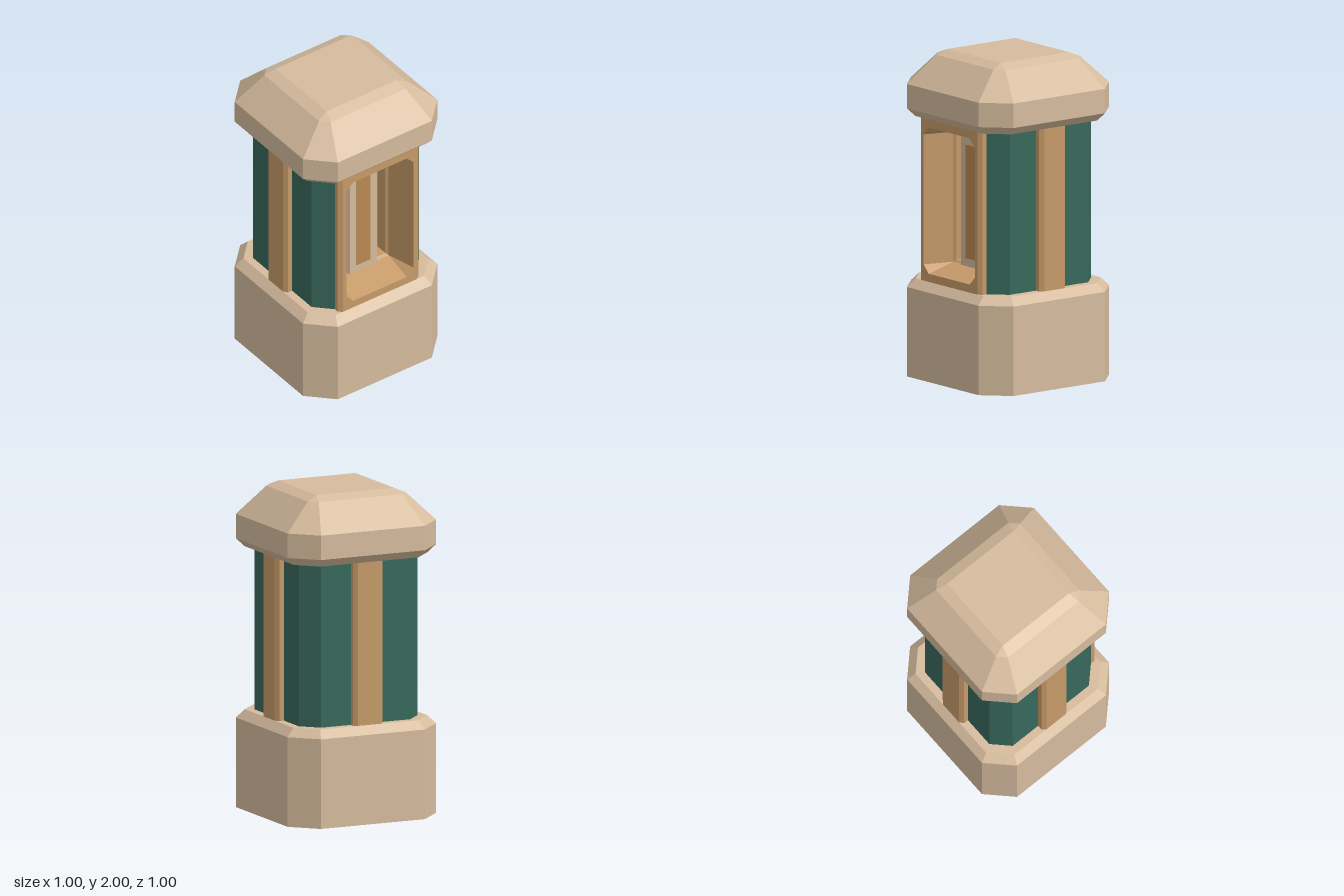
import * as THREE from 'three';

const material = (color) => new THREE.MeshStandardMaterial({ color, flatShading: true });

// Rectangle of half sizes w, h with its corners cut, counter-clockwise, at depth z
function ring(w, h, cut, z) {
  const a = w - cut, b = h - cut;
  return [[w, -b], [w, b], [a, h], [-a, h], [-w, b], [-w, -b], [-a, -h], [a, -h]]
    .map(([x, y]) => new THREE.Vector3(x, y, z));
}

// Joins successive rings along z; closes the last ring and optionally the first
function loft(rings, closeStart) {
  const pos = [];
  const tri = (a, b, c) => pos.push(...a.toArray(), ...b.toArray(), ...c.toArray());
  for (let r = 0; r < rings.length - 1; r++) {
    const a = rings[r], b = rings[r + 1];
    for (let i = 0; i < 8; i++) {
      const j = (i + 1) % 8;
      tri(a[i], a[j], b[j]);
      tri(a[i], b[j], b[i]);
    }
  }
  const first = rings[0], last = rings[rings.length - 1];
  for (let i = 1; i < 7; i++) {
    tri(last[0], last[i], last[i + 1]);
    if (closeStart) tri(first[0], first[i + 1], first[i]);
  }
  const g = new THREE.BufferGeometry();
  g.setAttribute('position', new THREE.Float32BufferAttribute(pos, 3));
  g.computeVertexNormals();
  return g;
}

// Upright prism from a floor plan of [x, z] points
function prism(plan, y0, y1) {
  const shape = new THREE.Shape(plan.map(([x, z]) => new THREE.Vector2(x, -z)));
  return new THREE.ExtrudeGeometry(shape, { depth: y1 - y0, bevelEnabled: false })
    .rotateX(-Math.PI / 2).translate(0, y0, 0);
}

export function createModel() {
  const group = new THREE.Group();
  const stone = material(0xd6bc9e), wood = material(0xc79b6a);
  const green = material(0x38695c), amber = material(0xbd8a52);
  const add = (name, geometry, mat) => {
    const mesh = new THREE.Mesh(geometry, mat);
    mesh.name = name;
    group.add(mesh);
    return mesh;
  };

  // Stone base and cap, lofted upwards from [half width, corner cut, height]
  const block = (levels) => loft(levels.map(([w, c, y]) => ring(w, w, c, y)), true).rotateX(-Math.PI / 2);
  add('base', block([[0.5, 0.15, 0], [0.5, 0.15, 0.55], [0.45, 0.12, 0.6]]), stone);
  add('cap', block([[0.45, 0.12, 1.6], [0.5, 0.15, 1.65], [0.5, 0.15, 1.8],
    [0.33, 0.05, 1.97], [0.26, 0, 2]]), stone);

  // Eight-sided body with a notch in front for the recess
  add('body', prism([[0.3, 0.4], [0.4, 0.3], [0.4, -0.3], [0.3, -0.4], [-0.3, -0.4], [-0.4, -0.3],
    [-0.4, 0.3], [-0.3, 0.4], [-0.3, 0.16], [0.3, 0.16]], 0.6, 1.6), green);

  // Chamfered posts on the two sides and the back
  const postPlan = [[-0.1, 0.38], [0.1, 0.38], [0.1, 0.43], [0.075, 0.45], [-0.075, 0.45], [-0.1, 0.43]];
  const postGeometry = prism(postPlan, 0.6, 1.6);
  ['leftPost', 'backPost', 'rightPost'].forEach((name, i) => {
    add(name, postGeometry, wood).rotation.y = (i + 1) * Math.PI / 2;
  });

  // Front frame: face with an eight-sided opening, and chamfered edges
  const face = new THREE.Shape([[-0.275, 0.6], [0.275, 0.6], [0.275, 1.6], [-0.275, 1.6]]
    .map(([x, y]) => new THREE.Vector2(x, y)));
  face.holes.push(new THREE.Path(ring(0.25, 0.45, 0.05, 0).map((p) => new THREE.Vector2(p.x, p.y + 1.1))));
  add('frontFrame', new THREE.ShapeGeometry(face).translate(0, 0, 0.45), wood);
  for (const s of [-1, 1]) {
    add(s > 0 ? 'leftFrameEdge' : 'rightFrameEdge',
      prism([[s * 0.275, 0.38], [s * 0.3, 0.38], [s * 0.3, 0.43], [s * 0.275, 0.45]], 0.6, 1.6), wood);
  }

  // Tapered recess running back into the body
  add('recess', loft([ring(0.25, 0.45, 0.05, 0.45), ring(0.2, 0.4, 0, 0.265),
    ring(0.185, 0.385, 0, 0.25), ring(0.185, 0.385, 0, 0.17)], false).translate(0, 1.1, 0), wood);

  // Stone pillar inside the recess with its inlay
  add('pillar', prism([[-0.115, 0.17], [0.115, 0.17], [0.115, 0.255], [0.1, 0.28],
    [-0.1, 0.28], [-0.115, 0.255]], 0.7, 1.5), stone);
  add('pillarInlay', new THREE.BoxGeometry(0.1, 0.7, 0.02).translate(0, 1.1, 0.275), amber);

  return group;
}
